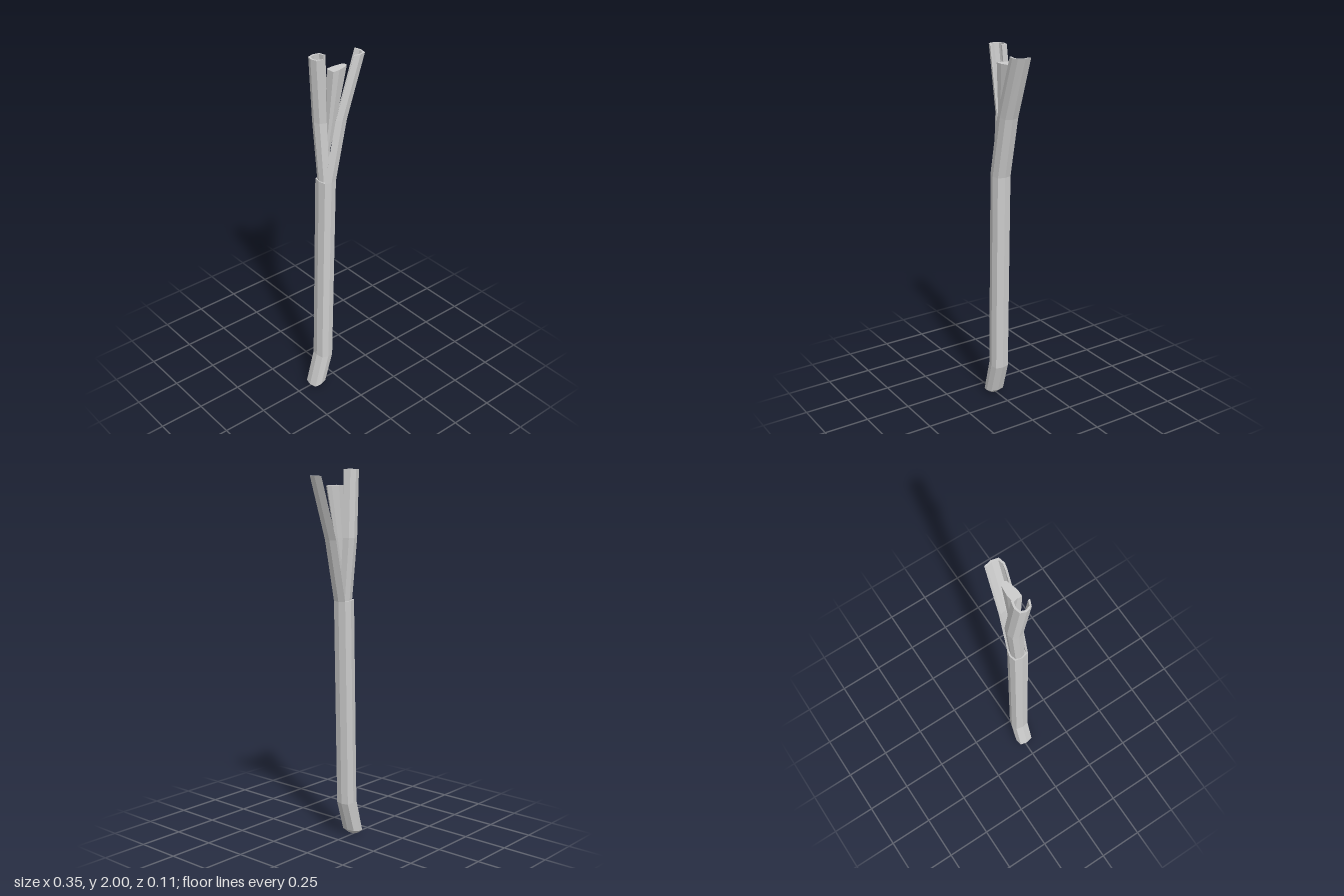
import * as THREE from 'three';

const material = new THREE.MeshStandardMaterial({ color: 0xcccccc, flatShading: true, side: THREE.DoubleSide });

// Lofts one [x, z] section along rings { x, y, z, s, tilt }, listed from bottom to top, and caps both ends.
function loft(name, section, rings) {
  const pos = [];
  const n = section.length;
  const pts = rings.map(({ x, y, z, s = 1, tilt = 0 }) =>
    section.map(([px, pz]) => [x + px * s, y + px * tilt, z + pz * s]));
  const tri = (a, b, c) => pos.push(...a, ...b, ...c);
  for (let r = 0; r + 1 < pts.length; r++) {
    for (let i = 0; i < n; i++) {
      const j = (i + 1) % n, a = pts[r], b = pts[r + 1];
      tri(a[i], b[i], a[j]);
      tri(b[i], b[j], a[j]);
    }
  }
  const flat = section.map(([x, z]) => new THREE.Vector2(x, z));
  const low = pts[0], high = pts[pts.length - 1];
  for (const [i, j, k] of THREE.ShapeUtils.triangulateShape(flat, [])) {
    const turn = THREE.ShapeUtils.area([flat[i], flat[j], flat[k]]);
    const [p, q] = turn > 0 ? [j, k] : [k, j];
    tri(low[i], low[p], low[q]);
    tri(high[i], high[q], high[p]);
  }
  const geometry = new THREE.BufferGeometry();
  geometry.setAttribute('position', new THREE.Float32BufferAttribute(pos, 3));
  geometry.computeVertexNormals();
  const mesh = new THREE.Mesh(geometry, material);
  mesh.name = name;
  return mesh;
}

// Closes an open outline into a thin gutter section.
const gutter = (outline, inner) =>
  [...outline, ...outline.map(([x, z]) => [x * inner, z * inner]).reverse()];

export function createModel() {
  const group = new THREE.Group();
  group.name = 'leafStalk';

  // Stalk: squarish octagon, bent near its rounded foot
  const octagon = [
    [0.045, 0], [0.036, 0.039], [0, 0.048], [-0.036, 0.039],
    [-0.045, 0], [-0.036, -0.039], [0, -0.048], [0.036, -0.039],
  ];
  group.add(loft('stalk', octagon, [
    { x: -0.135, y: 0.002, z: 0.008, s: 0.5, tilt: 0.08 },
    { x: -0.131, y: 0.022, z: 0.008, tilt: 0.17 },
    { x: -0.08, y: 0.2, z: 0.008, tilt: -0.12 },
    { x: -0.055, y: 1.32, z: 0.008, tilt: -0.1 },
  ]));

  // Outer leaf: gutter open to the back and the inner side
  const outerOutline = [7, 0, 1, 2, 3].map((i) => octagon[i]);
  group.add(loft('outerLeaf', gutter(outerOutline, 0.78), [
    { x: -0.055, y: 1.32, z: 0.008, tilt: -0.1 },
    { x: 0.015, y: 1.65, z: 0.008, tilt: -0.2 },
    { x: 0.127, y: 1.97, z: 0.008 },
  ]));

  // Back leaf: gutter open to the front and the inner side
  const backOutline = [
    [0, 0.042], [-0.035, 0.028], [-0.045, -0.004], [-0.034, -0.034],
    [0, -0.043], [0.035, -0.035], [0.043, 0],
  ];
  group.add(loft('backLeaf', gutter(backOutline, 0.76), [
    { x: -0.055, y: 1.3, z: 0.008, s: 0.86 },
    { x: -0.061, y: 1.65, z: -0.015, s: 0.98 },
    { x: -0.092, y: 2, z: 0.002 },
  ]));

  // Middle leaf: solid wedge widening upward between the other two
  const wedge = [
    [0.057, -0.005], [0.045, 0.013], [-0.015, 0.03], [-0.053, 0.03],
    [-0.055, -0.012], [-0.05, -0.022], [-0.01, -0.026], [0.04, -0.021],
  ];
  group.add(loft('middleLeaf', wedge, [
    { x: -0.06, y: 1.36, z: 0.005, s: 0.12 },
    { x: -0.015, y: 1.65, z: 0.008, s: 0.6 },
    { x: 0.02, y: 1.92, z: 0.013 },
  ]));

  return group;
}
